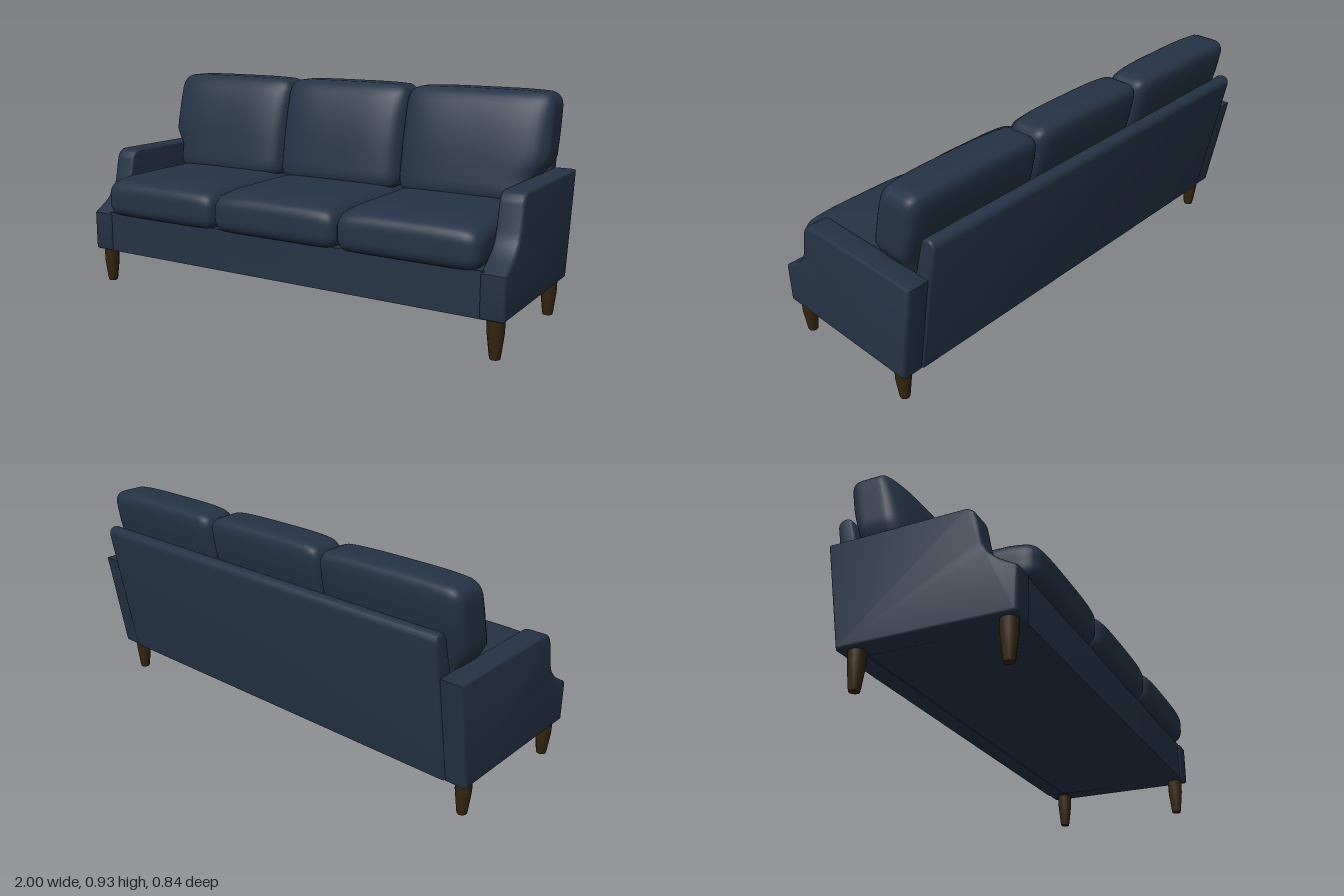
import * as THREE from 'three';
import { mergeVertices, toCreasedNormals } from 'three/addons/utils/BufferGeometryUtils.js';

const { clamp, smoothstep } = THREE.MathUtils;

// Finely divided box with rounded edges, reshaped by a rule: deform(p, half sizes)
function softBox(w, h, d, r, deform) {
  const geo = new THREE.BoxGeometry(2, 2, 2, 22, 18, 18);
  const half = new THREE.Vector3(w / 2, h / 2, d / 2);
  const pos = geo.attributes.position;
  const p = new THREE.Vector3(), inner = new THREE.Vector3();
  for (let i = 0; i < pos.count; i++) {
    p.fromBufferAttribute(pos, i);
    // crowd the grid lines towards the edges
    for (const a of ['x', 'y', 'z']) {
      p[a] = Math.sin(p[a] * Math.PI / 2) * half[a];
      inner[a] = clamp(p[a], r - half[a], half[a] - r);
    }
    p.sub(inner).setLength(r).add(inner);
    deform(p, half);
    pos.setXYZ(i, p.x, p.y, p.z);
  }
  geo.deleteAttribute('normal');
  geo.deleteAttribute('uv');
  const smooth = mergeVertices(geo, 1e-5);
  smooth.computeVertexNormals();
  return smooth;
}

// Side profile drawn as (z, y), extruded across x and centred on x = 0
function sideExtrude(shape, width, bevel) {
  const geo = new THREE.ExtrudeGeometry(shape, {
    depth: width - 2 * bevel, curveSegments: 10,
    bevelEnabled: true, bevelSize: bevel, bevelThickness: bevel,
    bevelOffset: -bevel, bevelSegments: 3,
  });
  geo.translate(0, 0, bevel - width / 2);
  geo.rotateY(-Math.PI / 2);
  return toCreasedNormals(geo, 0.6);
}

const polygon = (points) => new THREE.Shape(points.map(([z, y]) => new THREE.Vector2(z, y)));

export function createModel() {
  const sofa = new THREE.Group();
  sofa.name = 'sofa';
  const fabric = new THREE.MeshStandardMaterial({ color: 0x253346 });
  fabric.name = 'navy fabric';
  const wood = new THREE.MeshStandardMaterial({ color: 0x35250f });
  wood.name = 'dark wood';

  const add = (name, geo, mat, x = 0, y = 0, z = 0) => {
    const mesh = new THREE.Mesh(geo, mat);
    mesh.name = name;
    mesh.position.set(x, y, z);
    sofa.add(mesh);
    return mesh;
  };

  // Base under the seat
  add('base', sideExtrude(polygon([
    [-0.28, 0.155], [0.382, 0.155], [0.382, 0.335], [-0.26, 0.335],
  ]), 1.84, 0.006), fabric);

  // Leaning back panel with a rounded top
  const back = new THREE.Shape();
  back.moveTo(-0.315, 0.152);
  back.lineTo(-0.235, 0.152);
  back.lineTo(-0.245, 0.33);
  back.lineTo(-0.355, 0.745);
  back.quadraticCurveTo(-0.365, 0.77, -0.39, 0.77);
  back.quadraticCurveTo(-0.422, 0.768, -0.42, 0.735);
  add('backPanel', sideExtrude(back, 1.82, 0.01), fabric);

  // Arms with a scooped front
  const arm = new THREE.Shape();
  arm.moveTo(-0.31, 0.152);
  arm.lineTo(0.378, 0.155);
  arm.quadraticCurveTo(0.39, 0.155, 0.39, 0.168);
  arm.lineTo(0.39, 0.328);
  arm.bezierCurveTo(0.33, 0.365, 0.27, 0.39, 0.252, 0.46);
  arm.lineTo(0.232, 0.555);
  arm.quadraticCurveTo(0.222, 0.597, 0.185, 0.602);
  arm.lineTo(-0.385, 0.598);
  const armGeo = sideExtrude(arm, 0.1, 0.012);
  add('leftArm', armGeo, fabric, 0.95);
  add('rightArm', armGeo, fabric, -0.95);

  // Seat cushions: crowned on top, bulging and sloping at the front
  const seat = softBox(0.606, 0.165, 0.66, 0.055, (p, h) => {
    const u = p.x / h.x, v = p.z / h.z;
    const across = 1 - u ** 4;
    if (p.y > 0) p.y += 0.016 * across - 0.014 * smoothstep(v, 0.6, 1);
    if (v > 0.5) p.z += 0.008 * across;
  });
  for (const x of [-0.6, 0, 0.6]) add('seatCushion', seat, fabric, x, 0.408, 0.082);

  // Back cushions: full front that falls away to the top and sides
  const backCushion = (w, outer) => softBox(w, 0.45, 0.23, 0.055, (p, h) => {
    const u = p.x / h.x, t = p.y / h.y * 0.5 + 0.5;
    const edge = u ** 4;
    if (p.z > 0) p.z *= 1.12 * (1 - 0.42 * t ** 4) * (1 - 0.32 * edge);
    else p.z *= 0.74 + 0.2 * smoothstep(t, 0.2, 0.75);
    p.z -= 0.19 + 0.07 * t;
    if (p.y > 0) p.y -= 0.01 * edge;
    // outer side tucks in behind the arm
    if (u * outer > 0) p.x -= 0.045 * u * outer * outer * (1 - smoothstep(t, 0.25, 0.4));
  });
  add('middleBackCushion', backCushion(0.612, 0), fabric, 0, 0.707, 0.005);
  for (const s of [1, -1]) {
    add(s > 0 ? 'leftBackCushion' : 'rightBackCushion', backCushion(0.65, s), fabric, s * 0.627, 0.705, 0);
  }

  // Tapered legs
  const legProfile = [[0, 0], [0.02, 0], [0.0225, 0.012], [0.033, 0.1], [0.034, 0.16], [0, 0.16]]
    .map(([r, y]) => new THREE.Vector2(r, y));
  const leg = toCreasedNormals(new THREE.LatheGeometry(legProfile, 10), 0.9);
  for (const x of [0.95, -0.95]) {
    add('frontLeg', leg, wood, x, 0, 0.341);
    add('backLeg', leg, wood, x, 0, -0.248);
  }

  return sofa;
}
